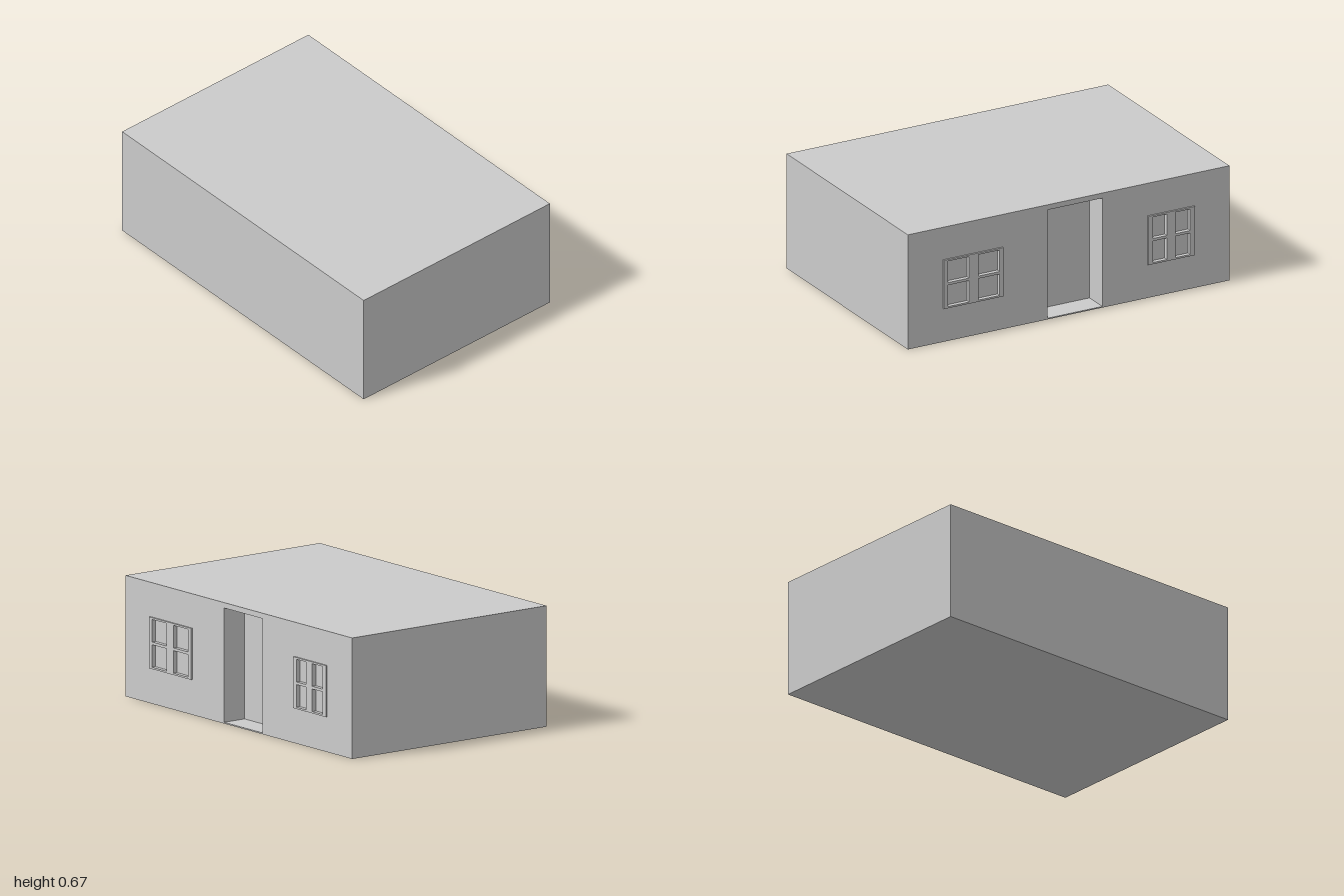
import * as THREE from 'three';

const LEFT = -0.67, WALL = 0.66, FRAME = 0.67, HEIGHT = 0.67, GLASS = 0.645;
const grey = (side = THREE.FrontSide) =>
  new THREE.MeshStandardMaterial({ color: 0xcccccc, flatShading: true, side });

// Rectangle drawn on the facade: u runs along -z, v runs up
function rect(Type, [u0, u1, v0, v1]) {
  const r = new Type();
  r.moveTo(u0, v0).lineTo(u1, v0).lineTo(u1, v1).lineTo(u0, v1).closePath();
  return r;
}

// Turn a facade drawing to face +x, at depth x
const toWall = (geometry, x) => geometry.rotateY(Math.PI / 2).translate(x, 0, 0);

// Box between two depths, left open on its +x side
function openBox(x0, x1, [u0, u1, v0, v1]) {
  const g = new THREE.BoxGeometry(x1 - x0, v1 - v0, u1 - u0);
  g.setIndex(Array.from(g.index.array).slice(6));
  g.clearGroups();
  return g.translate((x0 + x1) / 2, (v0 + v1) / 2, -(u0 + u1) / 2);
}

export function createModel() {
  const house = new THREE.Group();
  house.name = 'house';
  const add = (name, geometry, side) => {
    const mesh = new THREE.Mesh(geometry, grey(side));
    mesh.name = name;
    house.add(mesh);
  };

  const outline = [-1, 1, 0, HEIGHT];
  const door = [-0.13, 0.21, 0.007, 0.64];
  const windows = [
    { name: 'wideWindow', area: [-0.78, -0.41, 0.195, 0.48], columns: [[-0.755, -0.625], [-0.565, -0.435]] },
    { name: 'narrowWindow', area: [0.49, 0.78, 0.195, 0.48], columns: [[0.52, 0.605], [0.66, 0.75]] },
  ];
  const rows = [[0.205, 0.33], [0.345, 0.47]];

  // Roof, floor and the three plain walls
  add('shell', openBox(LEFT, WALL, outline));

  // Facade with openings for the door and windows
  const facade = rect(THREE.Shape, outline);
  facade.holes = [door, ...windows.map((w) => w.area)].map((a) => rect(THREE.Path, a));
  add('facade', toWall(new THREE.ShapeGeometry(facade), WALL));

  // Doorway niche, seen from its inside
  add('doorway', openBox(WALL - 0.14, WALL, door), THREE.BackSide);

  // Window frames standing proud of the wall, with set-back glass
  for (const { name, area, columns } of windows) {
    const frame = rect(THREE.Shape, area);
    const panes = columns.flatMap((c) => rows.map((r) => [...c, ...r]));
    frame.holes = panes.map((p) => rect(THREE.Path, p));
    const solid = new THREE.ExtrudeGeometry(frame, { depth: FRAME - GLASS, bevelEnabled: false });
    add(name + 'Frame', toWall(solid, GLASS));
    add(name + 'Panes', toWall(new THREE.ShapeGeometry(panes.map((p) => rect(THREE.Shape, p))), GLASS));
  }
  return house;
}
